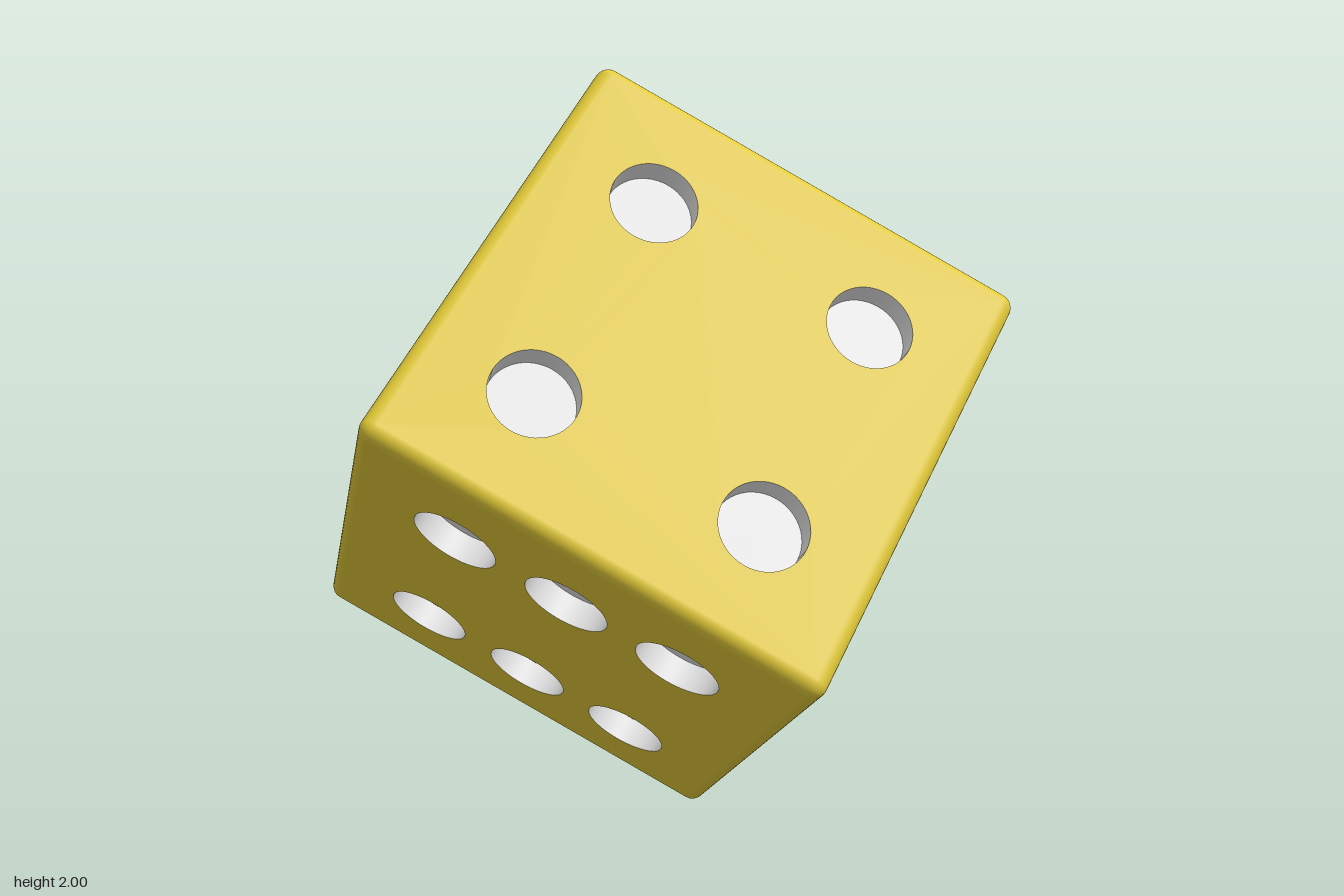
import * as THREE from 'three';

const yellow = new THREE.MeshStandardMaterial({ color: 0xe2ca39 });
yellow.name = 'die yellow';
const white = new THREE.MeshStandardMaterial({ color: 0xeeeeee, side: THREE.DoubleSide });
white.name = 'pip white';

const R = 0.037;            // edge rounding
const FLAT = 0.563;         // half width of the flat part of a face
const HALF = FLAT + R;      // half size of the die
const STEP = 0.303;         // pip spacing
const PIP = 0.11;           // pip radius
const DEPTH = 0.07;         // pip depth

const X = new THREE.Vector3(1, 0, 0);
const Y = new THREE.Vector3(0, 1, 0);
const Z = new THREE.Vector3(0, 0, 1);

function add(parent, name, geometry, material) {
  const mesh = new THREE.Mesh(geometry, material);
  mesh.name = name;
  parent.add(mesh);
  return mesh;
}

// One flat face with round holes, and a shallow cup behind each hole
function makeFace(name, u, v, sign, pips) {
  const face = new THREE.Group();
  face.name = name;
  const n = u.clone().cross(v);
  face.quaternion.setFromRotationMatrix(new THREE.Matrix4().makeBasis(u, v, n));
  face.position.copy(n).multiplyScalar(HALF);

  const shape = new THREE.Shape();
  shape.moveTo(-FLAT, -FLAT).lineTo(FLAT, -FLAT).lineTo(FLAT, FLAT).lineTo(-FLAT, FLAT).closePath();
  for (const [i, j] of pips) {
    const x = i * STEP, y = j * STEP;
    shape.holes.push(new THREE.Path().absarc(x, y, PIP, 0, Math.PI * 2, true));
    add(face, 'pipFloor', new THREE.CircleGeometry(PIP, 48), white).position.set(x, y, -DEPTH);
    const wall = new THREE.CylinderGeometry(PIP, PIP, DEPTH, 48, 1, true).rotateX(Math.PI / 2);
    add(face, 'pipWall', wall, white).position.set(x, y, -DEPTH / 2);
  }
  add(face, 'facePlate', new THREE.ShapeGeometry(shape, 24), yellow);
  return face;
}

export function createModel() {
  const model = new THREE.Group();
  model.name = 'die';
  const body = new THREE.Group();
  body.name = 'tiltedBody';
  model.add(body);

  // Faces, each with its pips as steps from the face centre
  const corners = [[-1, -1], [-1, 1], [1, -1], [1, 1]];
  const diagonal = [[-1, -1], [1, 1]];
  const neg = (a) => a.clone().negate();
  body.add(
    makeFace('oneFace', Y, Z, 1, [[0, 0]]),
    makeFace('twoFace', Y, X, 1, diagonal),
    makeFace('threeFace', Z, X, 1, [...diagonal, [0, 0]]),
    makeFace('fourFace', X, Z, 1, corners),
    makeFace('fiveFace', X, Y, 1, [...corners, [0, 0]]),
    makeFace('sixFace', Z, Y, 1, [...corners, [0, -1], [0, 1]]),
  );

  // Rounded edges: four quarter cylinders along each axis
  const quarter = Math.PI / 2;
  for (const axis of [X, Y, Z]) {
    const edges = new THREE.Group();
    edges.name = 'roundedEdges';
    edges.quaternion.setFromUnitVectors(Y, axis);
    for (let k = 0; k < 4; k++) {
      const mid = (k + 0.5) * quarter;
      const geometry = new THREE.CylinderGeometry(R, R, FLAT * 2, 8, 1, true, k * quarter, quarter);
      add(edges, 'roundedEdge', geometry, yellow)
        .position.set(Math.sign(Math.sin(mid)) * FLAT, 0, Math.sign(Math.cos(mid)) * FLAT);
    }
    body.add(edges);
  }

  // Rounded corners: eight sphere octants
  for (let k = 0; k < 4; k++) {
    const mid = (k + 0.5) * quarter;
    for (const top of [true, false]) {
      const geometry = new THREE.SphereGeometry(R, 8, 8, k * quarter, quarter, top ? 0 : quarter, quarter);
      add(body, 'roundedCorner', geometry, yellow).position.set(
        -Math.sign(Math.cos(mid)) * FLAT, top ? FLAT : -FLAT, Math.sign(Math.sin(mid)) * FLAT);
    }
  }

  // Balance the die on one corner
  const ax = new THREE.Vector3(-0.185, 0.697, -0.693).normalize();
  const az = new THREE.Vector3(-0.578, 0.493, 0.65);
  const ay = az.clone().cross(ax).normalize();
  az.crossVectors(ax, ay);
  body.quaternion.setFromRotationMatrix(new THREE.Matrix4().makeBasis(ax, ay, az));
  body.position.y = 1;
  return model;
}
